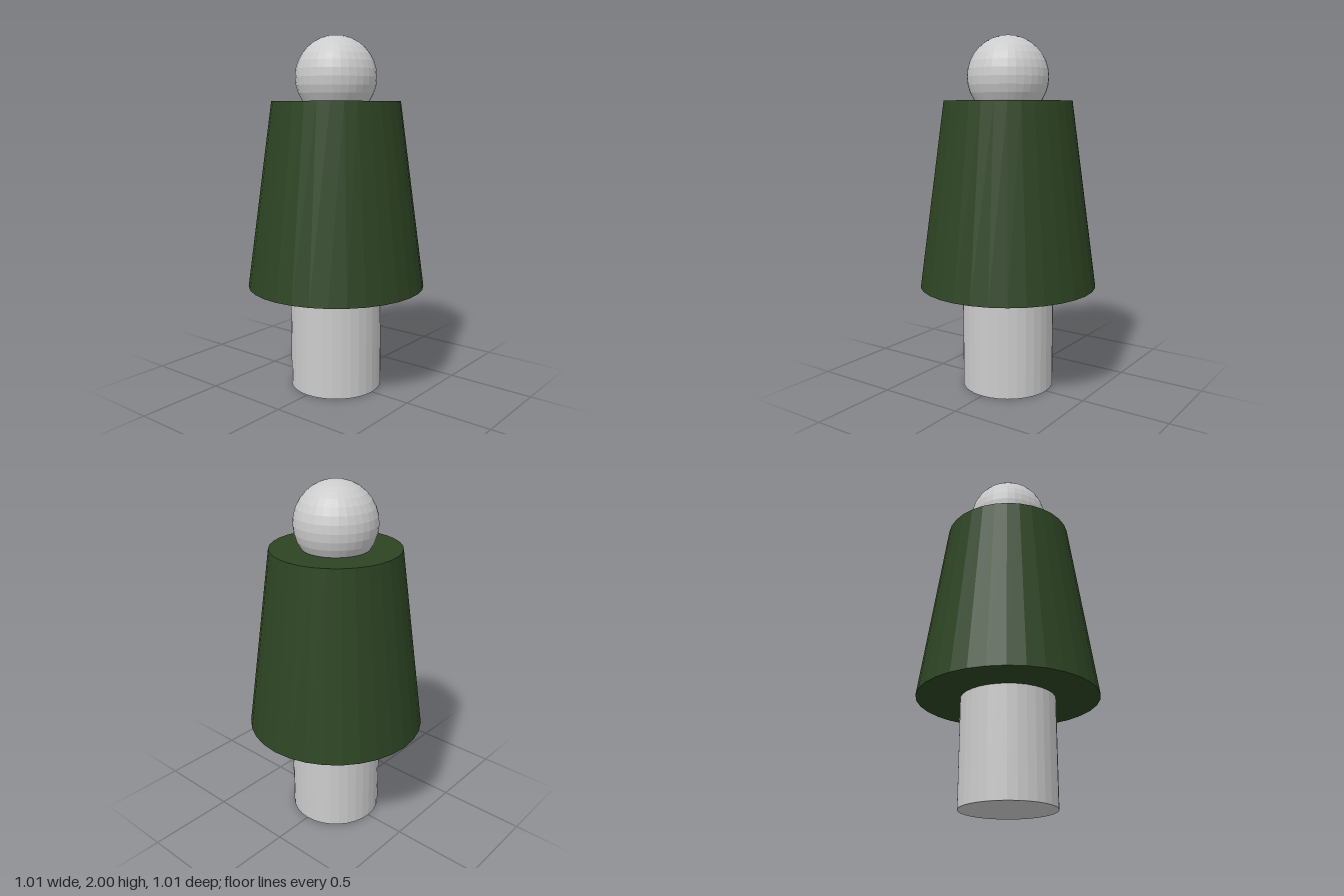
import * as THREE from 'three';

const SIDES = 32;

export function createModel() {
  const model = new THREE.Group();
  const grey = new THREE.MeshStandardMaterial({ color: 0xcccccc, flatShading: true });
  const green = new THREE.MeshStandardMaterial({ color: 0x2d4423, flatShading: true });

  function addPart(name, geometry, material, y) {
    const mesh = new THREE.Mesh(geometry, material);
    mesh.name = name;
    mesh.position.y = y;
    model.add(mesh);
  }

  // Straight round base
  addPart('base', new THREE.CylinderGeometry(0.262, 0.262, 0.595, SIDES), grey, 0.2975);

  // Tapered closed body
  addPart('body', new THREE.CylinderGeometry(0.36, 0.504, 1.047, SIDES), green, 1.1185);

  // Ball head, sunk slightly into the body
  addPart('head', new THREE.SphereGeometry(0.228, SIDES, 16), grey, 1.772);

  return model;
}
